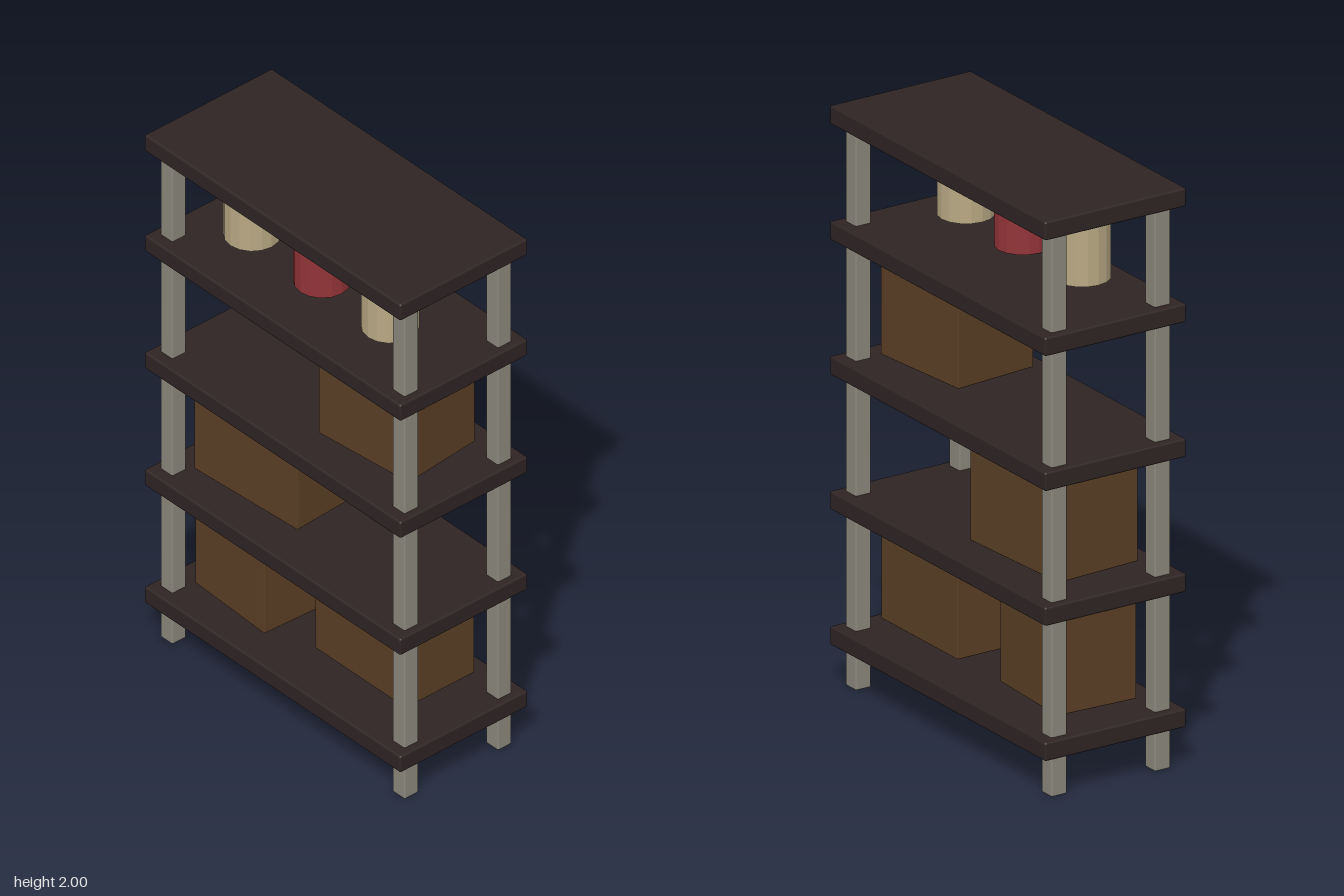
import * as THREE from 'three';
import { RoundedBoxGeometry } from 'three/addons/geometries/RoundedBoxGeometry.js';

const mat = (name, color, flatShading = false) => {
  const m = new THREE.MeshStandardMaterial({ color, flatShading });
  m.name = name;
  return m;
};

export function createModel() {
  const darkWood = mat('darkWood', 0x2f2424);
  const metal = mat('greyMetal', 0x8b877d);
  const cardboard = mat('brownCardboard', 0x5a3f25);
  const cream = mat('cream', 0xb8a883, true);
  const red = mat('red', 0x923438, true);

  const rack = new THREE.Group();
  rack.name = 'storageRack';

  const add = (name, geometry, material, x, y, z, turn = 0) => {
    const mesh = new THREE.Mesh(geometry, material);
    mesh.name = name;
    mesh.position.set(x, y, z);
    mesh.rotation.y = turn;
    rack.add(mesh);
  };

  // Five shelf boards with softened edges
  const board = new RoundedBoxGeometry(1.24, 0.064, 0.546, 2, 0.007);
  [0.173, 0.639, 1.104, 1.569, 1.968].forEach((y, i) => add(`shelf${i + 1}`, board, darkWood, 0, y, 0));

  // Four corner posts
  const post = new RoundedBoxGeometry(0.06, 1.96, 0.06, 2, 0.006);
  for (const x of [-0.562, 0.562])
    for (const z of [-0.2, 0.2])
      add(`${z > 0 ? 'front' : 'back'}${x > 0 ? 'Left' : 'Right'}Post`, post, metal, x, 0.98, z);

  // Storage boxes: width, height, depth, x, y, z, turn
  [
    [0.355, 0.357, 0.297, -0.319, 0.405, 0.018, -0.05],
    [0.44, 0.325, 0.295, 0.262, 0.416, -0.02, 0],
    [0.472, 0.352, 0.32, -0.266, 0.87, -0.001, 0.055],
    [0.397, 0.356, 0.31, 0.294, 1.344, 0, 0.09],
  ].forEach(([w, h, d, x, y, z, turn], i) =>
    add(`box${i + 1}`, new RoundedBoxGeometry(w, h, d, 2, 0.004), cardboard, x, y, z, turn));

  // Tins on the upper shelf
  const tin = new THREE.CylinderGeometry(0.094, 0.094, 0.253, 16);
  [['rightTin', -0.342, cream], ['middleTin', -0.003, red], ['leftTin', 0.325, cream]]
    .forEach(([name, x, m]) => add(name, tin, m, x, 1.778, 0.056));

  return rack;
}
